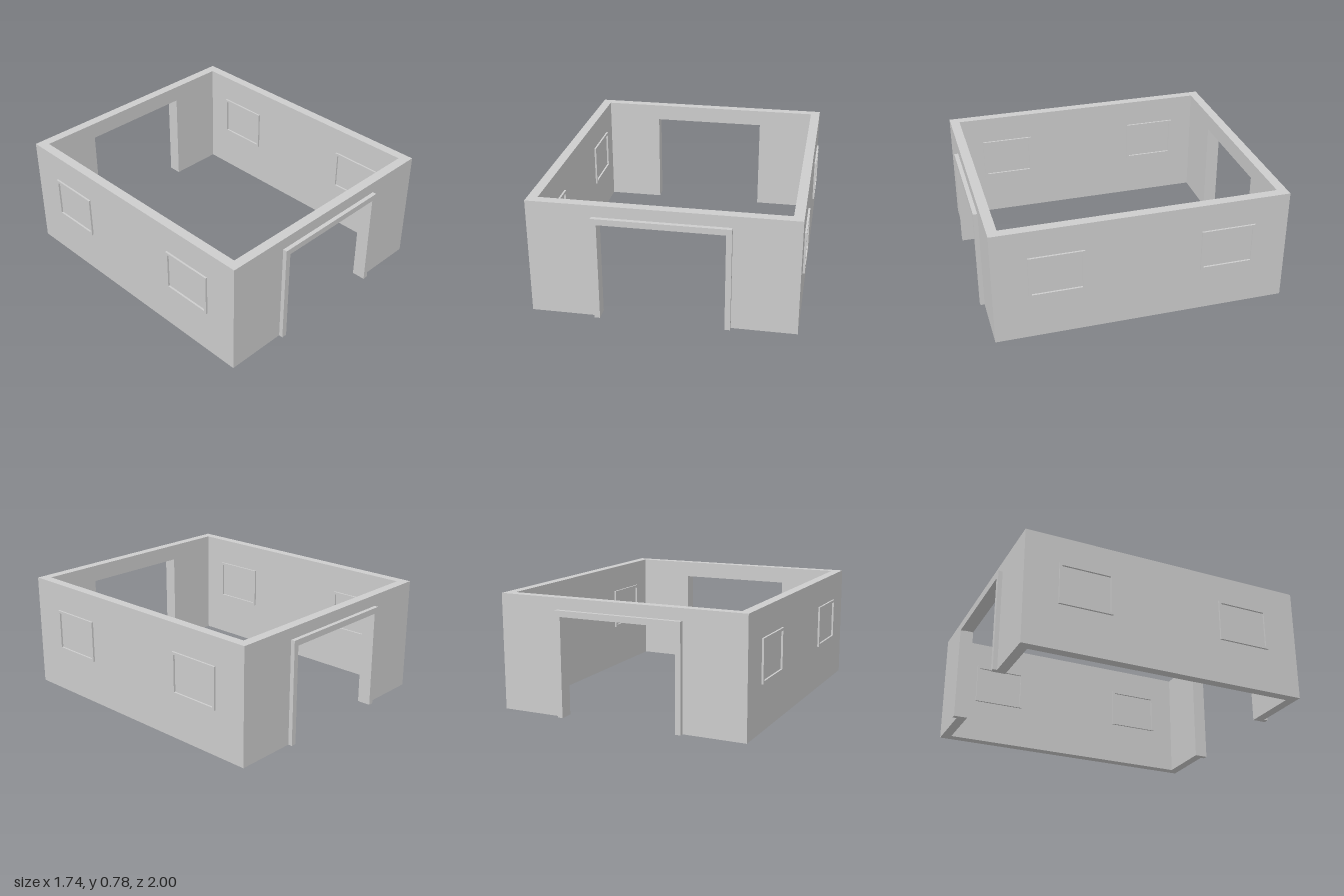
import * as THREE from 'three';

const W = 0.855, L = 0.972, H = 0.777, T = 0.065; // half width, half length, height, wall thickness

// Upside-down U outline: outer half width and height around an open doorway
function archShape(halfOut, topOut, halfIn, topIn) {
  return new THREE.Shape([
    [-halfOut, 0], [-halfIn, 0], [-halfIn, topIn], [halfIn, topIn],
    [halfIn, 0], [halfOut, 0], [halfOut, topOut], [-halfOut, topOut],
  ].map(([x, y]) => new THREE.Vector2(x, y)));
}

// Rectangular ring outline centred on the origin
function ringShape(w, h, border) {
  const rect = (a, b) => [[-a, -b], [a, -b], [a, b], [-a, b]].map(([x, y]) => new THREE.Vector2(x, y));
  const shape = new THREE.Shape(rect(w / 2, h / 2));
  shape.holes.push(new THREE.Path(rect(w / 2 - border, h / 2 - border).reverse()));
  return shape;
}

const extrude = (shape, depth) => new THREE.ExtrudeGeometry(shape, { depth, bevelEnabled: false });

export function createModel() {
  const model = new THREE.Group();
  model.name = 'building';
  const plaster = new THREE.MeshStandardMaterial({ color: 0xcccccc });
  plaster.name = 'light grey';

  const add = (name, geometry, x, y, z, turn = 0) => {
    const mesh = new THREE.Mesh(geometry, plaster);
    mesh.name = name;
    mesh.position.set(x, y, z);
    mesh.rotation.y = turn;
    model.add(mesh);
  };

  // End walls with doorways, and the raised trim outside each doorway
  const endWall = extrude(archShape(W, H, 0.4, 0.663), T);
  const doorTrim = extrude(archShape(0.436, 0.7, 0.4, 0.66), 1 - L);
  for (const [side, s, turn] of [['front', 1, 0], ['back', -1, Math.PI]]) {
    add(side + 'Wall', endWall, 0, 0, s * (L - T), turn);
    add(side + 'DoorTrim', doorTrim, 0, 0, s * L, turn);
  }

  // Side walls, with window frames on both faces
  const sideWall = new THREE.BoxGeometry(T, H, 2 * (L - T));
  const depth = 0.013;
  const windowFrame = extrude(ringShape(0.362, 0.284, 0.017), depth);
  for (const [side, s] of [['left', 1], ['right', -1]]) {
    add(side + 'Wall', sideWall, s * (W - T / 2), H / 2, 0);
    for (const z of [-0.564, 0.564]) {
      add(side + 'OuterWindowFrame', windowFrame, s * W, 0.448, z, s * Math.PI / 2);
      add(side + 'InnerWindowFrame', windowFrame, s * (W - T), 0.448, z, -s * Math.PI / 2);
    }
  }
  return model;
}
